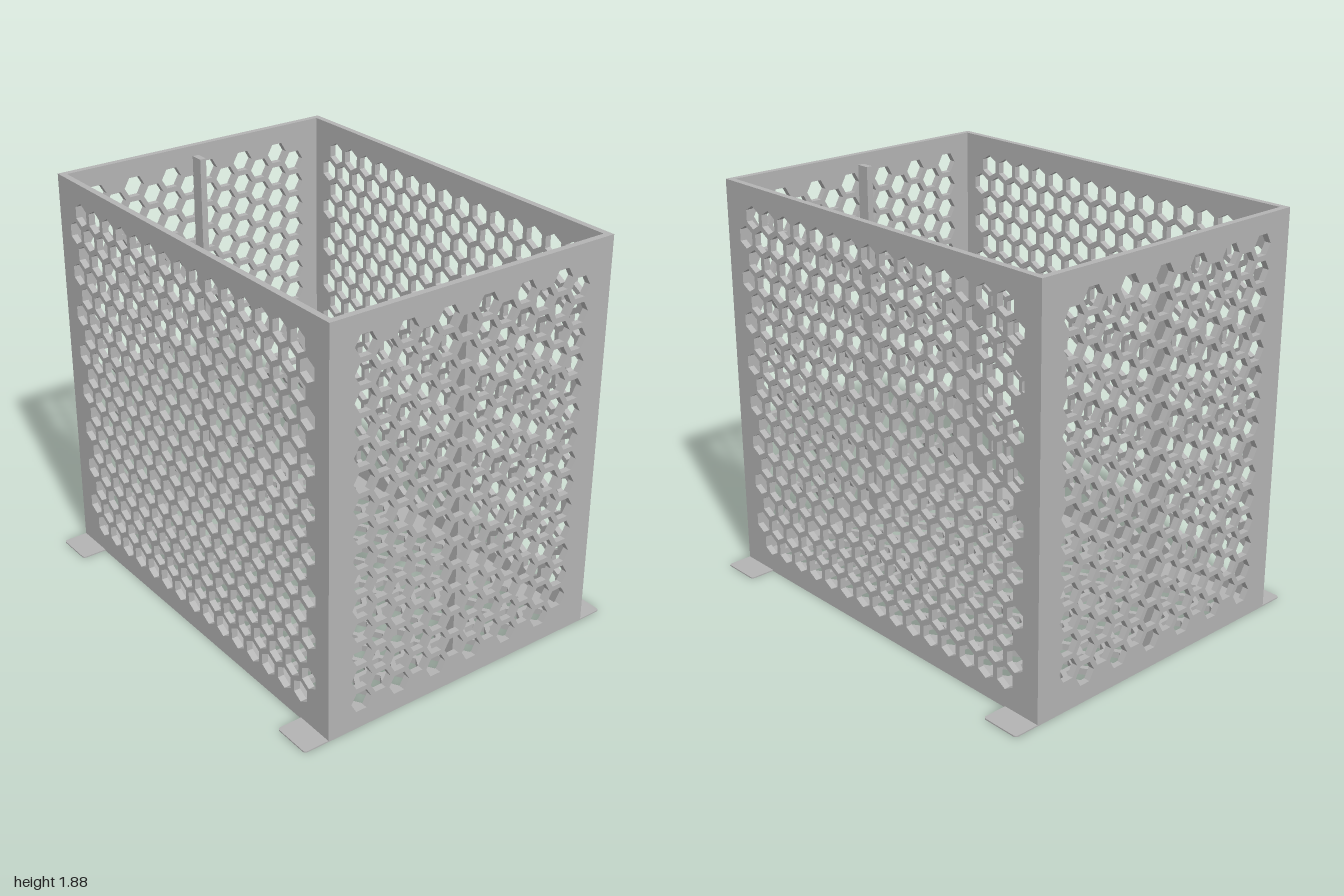
import * as THREE from 'three';

const HALF_X = 1, HALF_Z = 0.72, HEIGHT = 1.88, THICK = 0.03;
const PITCH = 0.1155, ROW = 0.1, HEX_R = 0.053;

// Flat sheet in XY with staggered hexagonal holes; every second row has one hole more
function perforatedPanel(width, height, rows, longCount) {
  const w = width / 2, h = height / 2;
  const shape = new THREE.Shape([
    new THREE.Vector2(-w, -h), new THREE.Vector2(w, -h),
    new THREE.Vector2(w, h), new THREE.Vector2(-w, h),
  ]);
  for (let r = 0; r < rows; r++) {
    const count = r % 2 ? longCount : longCount - 1;
    const cy = (r - (rows - 1) / 2) * ROW;
    for (let i = 0; i < count; i++) {
      const cx = (i - (count - 1) / 2) * PITCH;
      const points = [];
      for (let k = 0; k < 6; k++) {
        const a = Math.PI / 6 - k * Math.PI / 3;
        points.push(new THREE.Vector2(cx + HEX_R * Math.cos(a), cy + HEX_R * Math.sin(a)));
      }
      shape.holes.push(new THREE.Path(points));
    }
  }
  const geo = new THREE.ExtrudeGeometry(shape, { depth: THICK, bevelEnabled: false });
  return geo.translate(0, 0, -THICK / 2);
}

// Thin mounting tab with two rounded outer corners, reaching towards +z
function tabGeometry(width, length, thick, radius) {
  const w = width / 2;
  const s = new THREE.Shape();
  s.moveTo(-w, 0);
  s.lineTo(w, 0);
  s.lineTo(w, length - radius);
  s.absarc(w - radius, length - radius, radius, 0, Math.PI / 2);
  s.absarc(-w + radius, length - radius, radius, Math.PI / 2, Math.PI);
  const geo = new THREE.ExtrudeGeometry(s, { depth: thick, bevelEnabled: false, curveSegments: 5 });
  return geo.rotateX(Math.PI / 2).translate(0, thick, 0);
}

export function createModel() {
  const model = new THREE.Group();
  model.name = 'perforatedBin';
  const metal = new THREE.MeshStandardMaterial({ color: 0xb3b3b3 });
  metal.name = 'grey metal';

  const add = (name, geo, x, y, z) => {
    const mesh = new THREE.Mesh(geo, metal);
    mesh.name = name;
    mesh.position.set(x, y, z);
    model.add(mesh);
    return mesh;
  };

  const innerDepth = 2 * (HALF_Z - THICK);

  // Front and back walls
  const longWall = perforatedPanel(2 * HALF_X, HEIGHT, 17, 16);
  add('frontWall', longWall, 0, HEIGHT / 2, HALF_Z - THICK / 2);
  add('backWall', longWall, 0, HEIGHT / 2, -HALF_Z + THICK / 2);

  // Side walls: hole rows run vertically and step along z
  const sideWall = perforatedPanel(HEIGHT, innerDepth, 12, 15);
  sideWall.applyMatrix4(new THREE.Matrix4().makeBasis(
    new THREE.Vector3(0, 1, 0), new THREE.Vector3(0, 0, 1), new THREE.Vector3(1, 0, 0)));

  // Floor
  const floor = perforatedPanel(2 * (HALF_X - THICK), innerDepth, 12, 16).rotateX(-Math.PI / 2);
  add('floor', floor, 0, THICK / 2, 0);

  // Upright stiffeners inside the side walls, and corner mounting tabs
  const ribTop = 1.83;
  const rib = new THREE.BoxGeometry(0.065, ribTop - THICK, 0.032);
  const tab = tabGeometry(0.19, 0.12, 0.006, 0.015);
  for (const [side, sx] of [['left', 1], ['right', -1]]) {
    add(side + 'Wall', sideWall, sx * (HALF_X - THICK / 2), HEIGHT / 2, 0);
    add(side + 'Stiffener', rib, sx * (HALF_X - THICK - 0.0325), (ribTop + THICK) / 2, 0.015);
    for (const [end, sz] of [['Front', 1], ['Back', -1]]) {
      const mesh = add(side + end + 'Tab', tab, sx * (HALF_X - 0.095), 0, sz * HALF_Z);
      if (sz < 0) mesh.rotation.y = Math.PI;
    }
  }
  return model;
}
